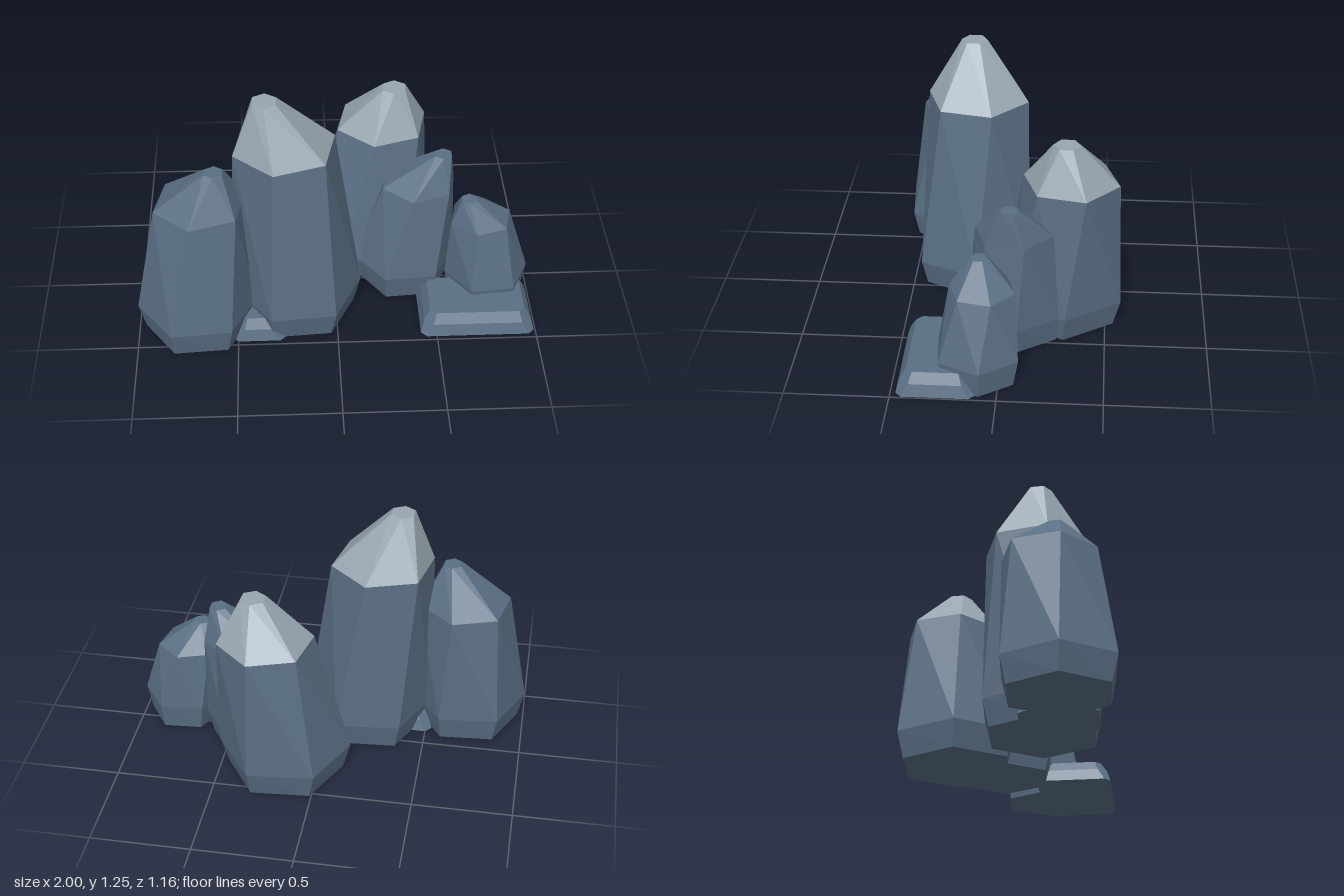
import * as THREE from 'three';

const slate = new THREE.MeshStandardMaterial({ color: 0x5a6f84, flatShading: true });
slate.name = 'slate';
const paleStone = new THREE.MeshStandardMaterial({ color: 0x98a6b0, flatShading: true });
paleStone.name = 'paleStone';

// Six-sided cross-section; angles run from +x towards +z
function hexRing(y, cx, cz, r, degrees) {
  return Array.from({ length: 6 }, (_, i) => {
    const a = THREE.MathUtils.degToRad(degrees + i * 60);
    return [cx + r * Math.cos(a), y, cz + r * Math.sin(a)];
  });
}

// Rectangle with cut corners, in the same winding as hexRing
function cutRectRing(y, x0, x1, z0, z1, inset, cut) {
  x0 += inset; x1 -= inset; z0 += inset; z1 -= inset;
  return [
    [x1, z0 + cut], [x1, z1 - cut], [x1 - cut, z1], [x0 + cut, z1],
    [x0, z1 - cut], [x0, z0 + cut], [x0 + cut, z0], [x1 - cut, z0],
  ].map(([x, z]) => [x, y, z]);
}

// Join stacked rings into a faceted skin, optionally closing the ends
function loft(rings, closeBottom, closeTop) {
  const pos = [];
  const n = rings[0].length;
  const tri = (...corners) => corners.forEach((c) => pos.push(...c));
  for (let k = 0; k < rings.length - 1; k++) {
    const lo = rings[k], up = rings[k + 1];
    for (let i = 0; i < n; i++) {
      const j = (i + 1) % n;
      tri(lo[i], up[i], up[j]);
      tri(lo[i], up[j], lo[j]);
    }
  }
  const bottom = rings[0], top = rings[rings.length - 1];
  for (let i = 1; i < n - 1; i++) {
    if (closeBottom) tri(bottom[0], bottom[i], bottom[i + 1]);
    if (closeTop) tri(top[0], top[i + 1], top[i]);
  }
  const geometry = new THREE.BufferGeometry();
  geometry.setAttribute('position', new THREE.Float32BufferAttribute(pos, 3));
  geometry.computeVertexNormals();
  return geometry;
}

function addMesh(parent, name, geometry, material) {
  const mesh = new THREE.Mesh(geometry, material);
  mesh.name = name;
  parent.add(mesh);
}

// Leaning pillar: foot, widest girth, shoulder, then a blunt point.
// girth, shoulder and tip are [y, x, z, radius]
function pillar(name, girth, shoulder, tip, capMaterial) {
  const group = new THREE.Group();
  group.name = name;
  const [, x, z, r] = girth;
  const shoulderRing = hexRing(...shoulder, 102);
  addMesh(group, 'shaft', loft([
    hexRing(0, x, z, r * 0.89, 116),
    hexRing(...girth, 115),
    shoulderRing,
  ], true, false), slate);
  addMesh(group, 'cap', loft([shoulderRing, hexRing(...tip, 93)], false, true), capMaterial);
  return group;
}

// Low slab with bevelled top edges
function slab(name, x0, x1, z0, z1) {
  const group = new THREE.Group();
  group.name = name;
  addMesh(group, 'slab', loft([
    cutRectRing(0, x0, x1, z0, z1, 0, 0.03),
    cutRectRing(0.06, x0, x1, z0, z1, 0.018, 0.045),
    cutRectRing(0.11, x0, x1, z0, z1, 0.048, 0.03),
  ], true, true), slate);
  return group;
}

export function createModel() {
  const model = new THREE.Group();
  model.name = 'rockPillars';
  model.add(
    pillar('tallPillar', [0.135, -0.195, 0.19, 0.325], [0.98, -0.25, 0.17, 0.262], [1.255, -0.34, 0.195, 0.065], paleStone),
    pillar('backPillar', [0.135, 0.175, -0.275, 0.332], [0.78, 0.255, -0.32, 0.24], [1.0, 0.315, -0.295, 0.065], paleStone),
    pillar('rightHandPillar', [0.135, -0.7, 0.31, 0.302], [0.725, -0.665, 0.27, 0.235], [0.925, -0.59, 0.3, 0.05], slate),
    pillar('middlePillar', [0.135, 0.365, -0.05, 0.262], [0.59, 0.43, -0.05, 0.195], [0.765, 0.55, -0.035, 0.047], slate),
    pillar('leftHandPillar', [0.135, 0.78, 0.1, 0.216], [0.45, 0.74, 0.08, 0.162], [0.58, 0.675, 0.1, 0.042], slate),
    slab('largeSlab', 0.42, 0.993, 0.1, 0.475),
    slab('smallSlab', -0.53, -0.26, 0.1, 0.475),
  );
  return model;
}
